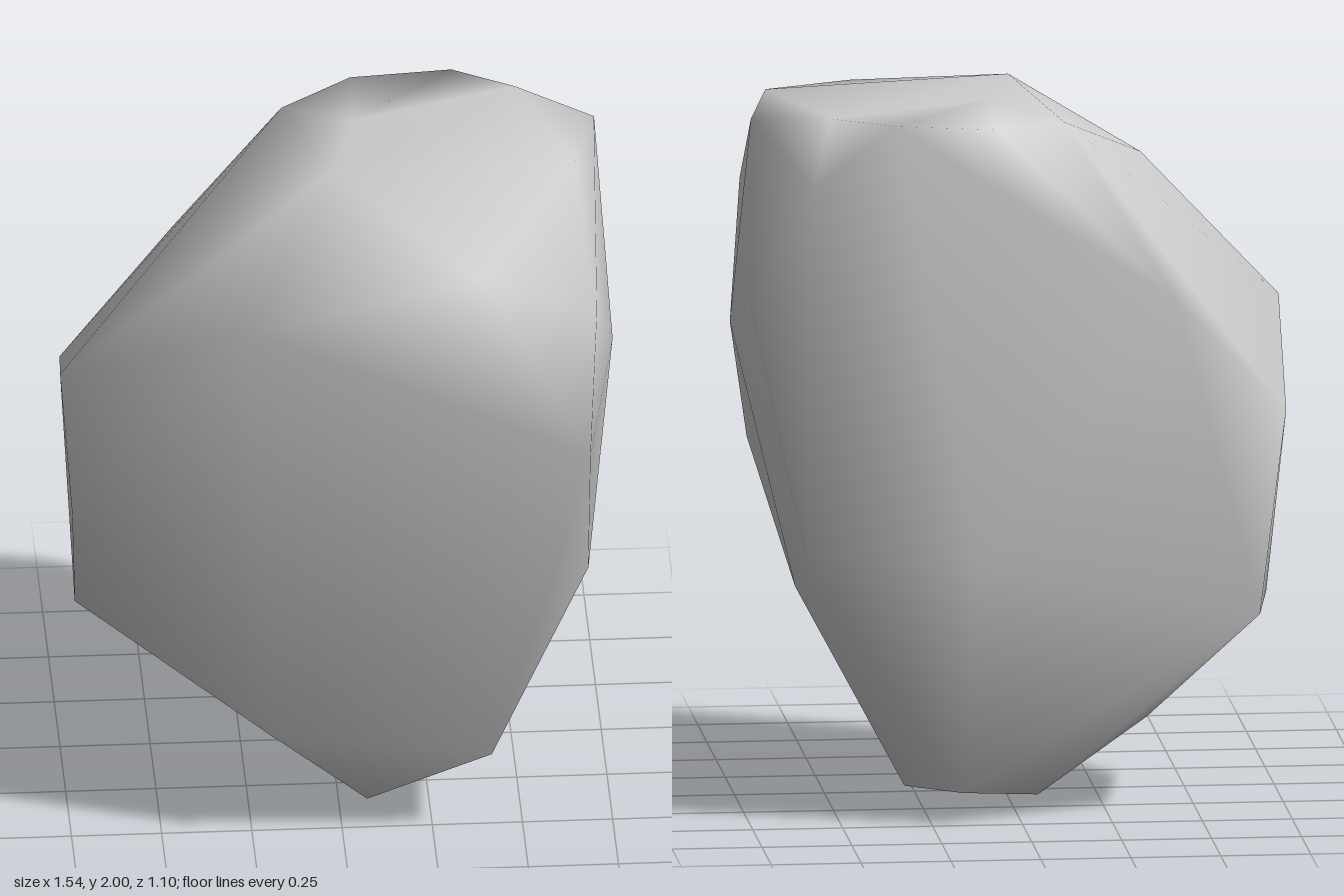
import * as THREE from 'three';
import { ConvexGeometry } from 'three/addons/geometries/ConvexGeometry.js';
import { mergeVertices } from 'three/addons/utils/BufferGeometryUtils.js';

// Corner points of the boulder, grouped from base to crown
const base = [
  [0.08, 0, -0.02], [-0.06, 0.05, -0.33], [0.31, 0.08, -0.32],
  [0.165, 0.09, -0.49], [0.07, 0.09, 0.25], [-0.36, 0.27, -0.36],
  [0.41, 0.265, 0.33], [-0.2, 0.35, 0.34],
];
const waist = [
  [-0.72, 0.56, -0.08], [-0.66, 0.58, -0.5], [0.61, 0.64, -0.28],
  [0.6, 0.76, -0.49], [0.13, 0.75, -0.55], [0.67, 0.92, 0.45],
  [-0.75, 1.05, 0.28], [-0.74, 1.14, -0.43],
];
const shoulder = [
  [0.67, 1.33, 0.545], [0.77, 1.35, -0.07], [-0.77, 1.37, 0.07],
  [-0.42, 1.48, -0.54], [0.74, 1.45, -0.35], [0.7, 1.67, 0.35],
  [-0.27, 1.71, 0.47], [-0.4, 1.75, 0.21], [0.58, 1.8, -0.49],
];
const crown = [
  [0.37, 1.9, 0.55], [-0.13, 1.95, -0.36], [0.07, 1.96, -0.5],
  [0.73, 1.955, -0.25], [0.35, 1.975, -0.5], [0.52, 1.978, -0.39],
  [0.66, 1.98, 0.04], [0.06, 1.99, -0.21], [-0.02, 2, 0.09],
];

export function createModel() {
  const group = new THREE.Group();
  group.name = 'boulder';

  const stone = new THREE.MeshStandardMaterial({ color: 0xcccccc });
  stone.name = 'stone grey';

  // Faceted hull, welded so the shading runs smoothly across its corners
  const points = [...base, ...waist, ...shoulder, ...crown].map((p) => new THREE.Vector3(...p));
  const hull = new ConvexGeometry(points);
  hull.deleteAttribute('normal');
  const geometry = mergeVertices(hull, 1e-4);
  geometry.computeVertexNormals();

  const rock = new THREE.Mesh(geometry, stone);
  rock.name = 'rock';
  group.add(rock);
  return group;
}
